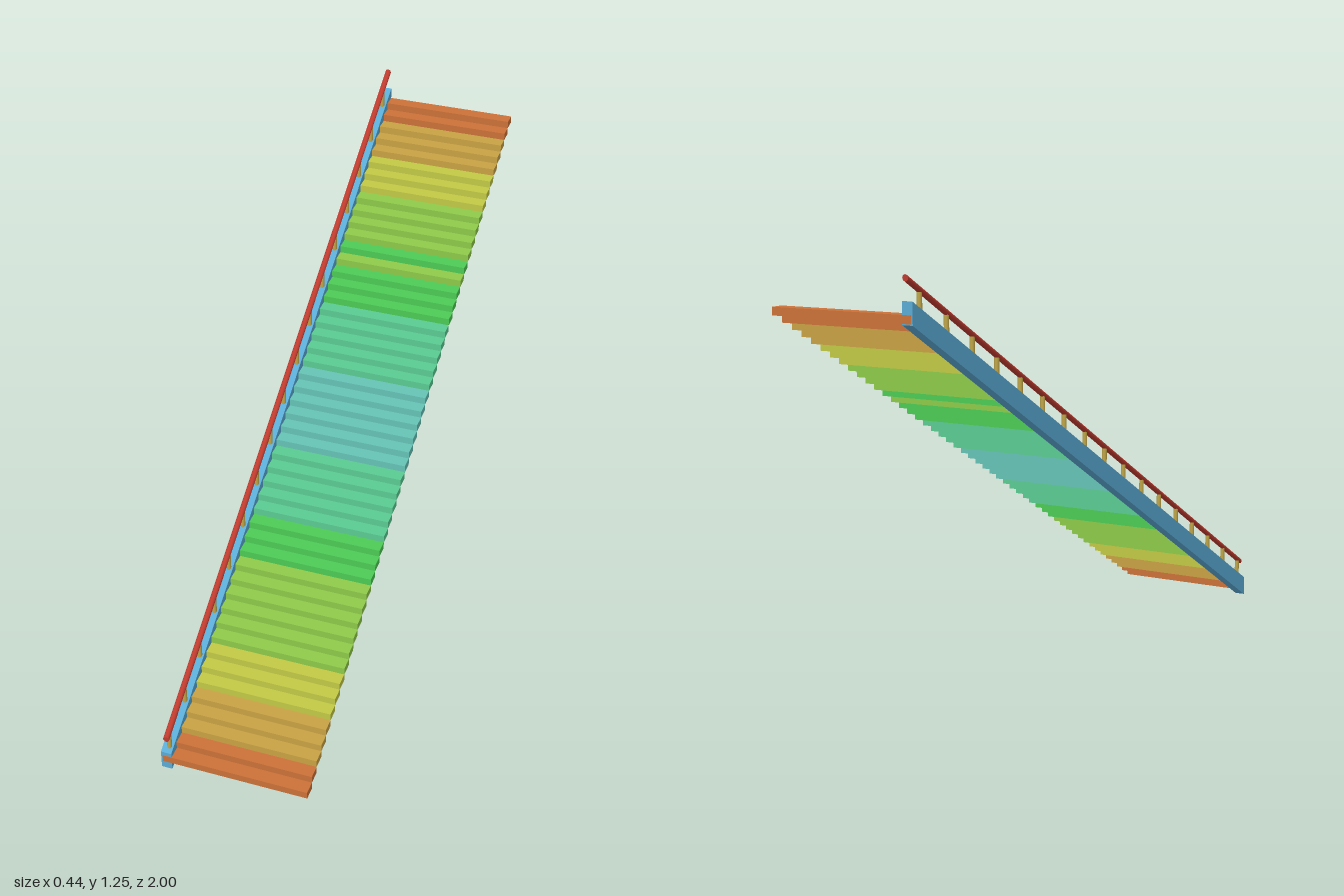
import * as THREE from 'three';

const STEPS = 50, RISE = 0.0225, RUN = 0.04, SLOPE = RISE / RUN;

function material(name, color) {
  const m = new THREE.MeshStandardMaterial({ color });
  m.name = name;
  return m;
}

// Tilts a geometry lying along z to the pitch of the stairs, keeping its ends upright
function pitch(geometry) {
  const p = geometry.attributes.position;
  for (let i = 0; i < p.count; i++) p.setY(i, p.getY(i) - SLOPE * p.getZ(i));
  geometry.computeVertexNormals();
  return geometry;
}

export function createModel() {
  const group = new THREE.Group();
  group.name = 'staircase';

  const mats = {
    orange: material('orange', 0xcc7238),
    gold: material('gold', 0xc8a244),
    yellow: material('yellow', 0xc2c945),
    lime: material('lime', 0x8eca4a),
    green: material('green', 0x4ccb55),
    teal: material('teal', 0x5acb92),
    aqua: material('aqua', 0x66c3b6),
    blue: material('stringer blue', 0x5aaad4),
    red: material('rail red', 0xbe3a2e),
    brass: material('baluster brass', 0xbfa548),
  };

  const add = (name, geometry, mat, x, y, z) => {
    const mesh = new THREE.Mesh(geometry, mat);
    mesh.name = name;
    mesh.position.set(x, y, z);
    group.add(mesh);
  };

  // Treads, coloured in bands from bottom to top
  const bands = [
    ['orange', 2], ['gold', 3], ['yellow', 3], ['lime', 6], ['green', 3],
    ['teal', 5], ['aqua', 6], ['teal', 5],
    ['green', 3], ['lime', 1], ['green', 1], ['lime', 4],
    ['yellow', 3], ['gold', 3], ['orange', 2],
  ];
  const treadColors = bands.flatMap(([color, n]) => Array(n).fill(color));
  const tread = new THREE.BoxGeometry(0.435, RISE, RUN);
  for (let i = 0; i < STEPS; i++) {
    add('tread', tread, mats[treadColors[i]],
      0.0025, 0.025 + RISE * (i + 0.5), 1 - RUN * (i + 0.5));
  }

  // Side beam carrying the treads
  add('stringer', pitch(new THREE.BoxGeometry(0.032, 0.06, 1.998)), mats.blue,
    -0.204, 0.03 + SLOPE, 0);

  // Round handrail
  const rail = new THREE.CylinderGeometry(0.009, 0.009, 2, 16).rotateX(Math.PI / 2);
  add('handrail', pitch(rail), mats.red, -0.2, 0.117 + SLOPE, 0);

  // A baluster on every third tread
  const baluster = new THREE.CylinderGeometry(0.007, 0.007, 0.08, 12);
  for (let i = 0; i < STEPS - 1; i += 3) {
    const z = 1 - RUN * (i + 0.5);
    add('baluster', baluster, mats.brass, -0.2, 0.0475 + RISE * i + 0.04, z);
  }
  return group;
}
